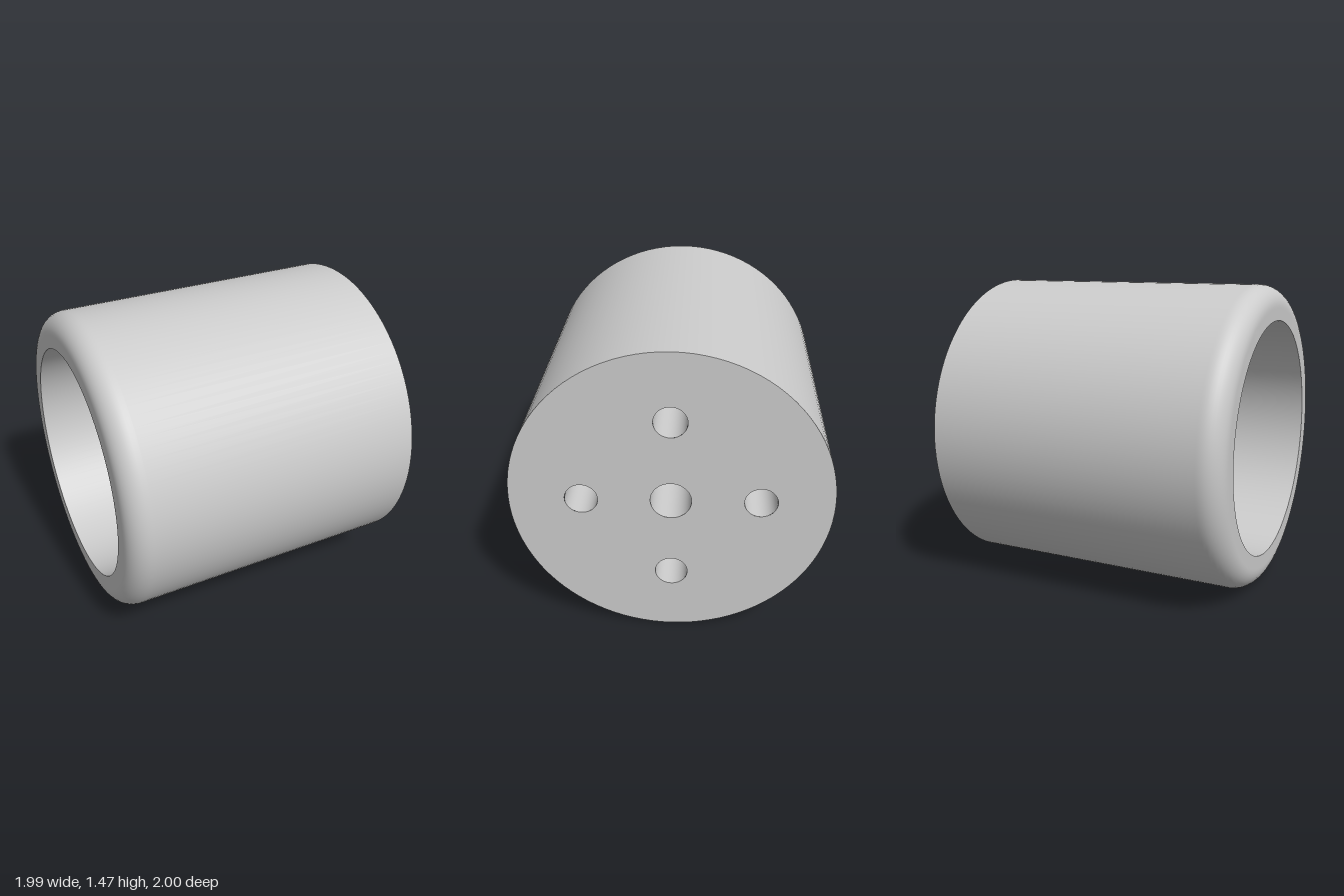
import * as THREE from 'three';
import { toCreasedNormals } from 'three/addons/utils/BufferGeometryUtils.js';

const R = 0.735, BORE = 0.567, LENGTH = 1.448, FILLET = 0.1, FLOOR = 0.32;
const SEGMENTS = 96;

// Bolt holes: one large in the centre, four around it
const HOLES = [{ x: 0, y: 0, r: 0.093 }];
for (let i = 0; i < 4; i++) {
  const a = i * Math.PI / 2;
  HOLES.push({ x: 0.405 * Math.cos(a), y: 0.405 * Math.sin(a), r: 0.075 });
}

// Flat disc pierced by the holes, facing +z
function piercedDisc(radius) {
  const shape = new THREE.Shape().absarc(0, 0, radius, 0, Math.PI * 2);
  for (const h of HOLES) {
    shape.holes.push(new THREE.Path().absarc(h.x, h.y, h.r, 0, Math.PI * 2, true));
  }
  return new THREE.ShapeGeometry(shape, SEGMENTS / 2);
}

export function createModel() {
  const model = new THREE.Group();
  const cup = new THREE.Group();
  cup.name = 'cup';
  model.add(cup);
  const material = new THREE.MeshStandardMaterial({ color: 0xcccccc });
  const inside = new THREE.MeshStandardMaterial({ color: 0xcccccc, side: THREE.BackSide });

  const add = (name, geometry, mat = material) => {
    const mesh = new THREE.Mesh(geometry, mat);
    mesh.name = name;
    cup.add(mesh);
    return mesh;
  };

  // Shell: outer wall, rounded front rim, flat lip and bore wall
  const profile = [new THREE.Vector2(R, 0), new THREE.Vector2(R, LENGTH - FILLET - 0.01)];
  for (let i = 0; i <= 10; i++) {
    const a = i / 10 * Math.PI / 2;
    profile.push(new THREE.Vector2(
      R - FILLET + FILLET * Math.cos(a), LENGTH - FILLET + FILLET * Math.sin(a)));
  }
  profile.push(
    new THREE.Vector2(R - FILLET - 0.01, LENGTH),
    new THREE.Vector2(BORE, LENGTH),
    new THREE.Vector2(BORE, FLOOR));
  const shell = new THREE.LatheGeometry(profile, SEGMENTS).rotateX(Math.PI / 2);
  add('shell', toCreasedNormals(shell, 0.6));

  // Closed end, seen from behind and from inside the bore
  add('backFace', piercedDisc(R).rotateY(Math.PI));
  add('boreFloor', piercedDisc(BORE)).position.z = FLOOR;

  // Hole walls through the closed end
  for (const h of HOLES) {
    const wall = new THREE.CylinderGeometry(h.r, h.r, FLOOR, 48, 1, true).rotateX(Math.PI / 2);
    add('boltHole', wall, inside).position.set(h.x, h.y, FLOOR / 2);
  }

  // Lie on its side, open end turned to the front right
  cup.rotation.y = -0.961;
  cup.position.set(0.574, R, -0.398);
  return model;
}
